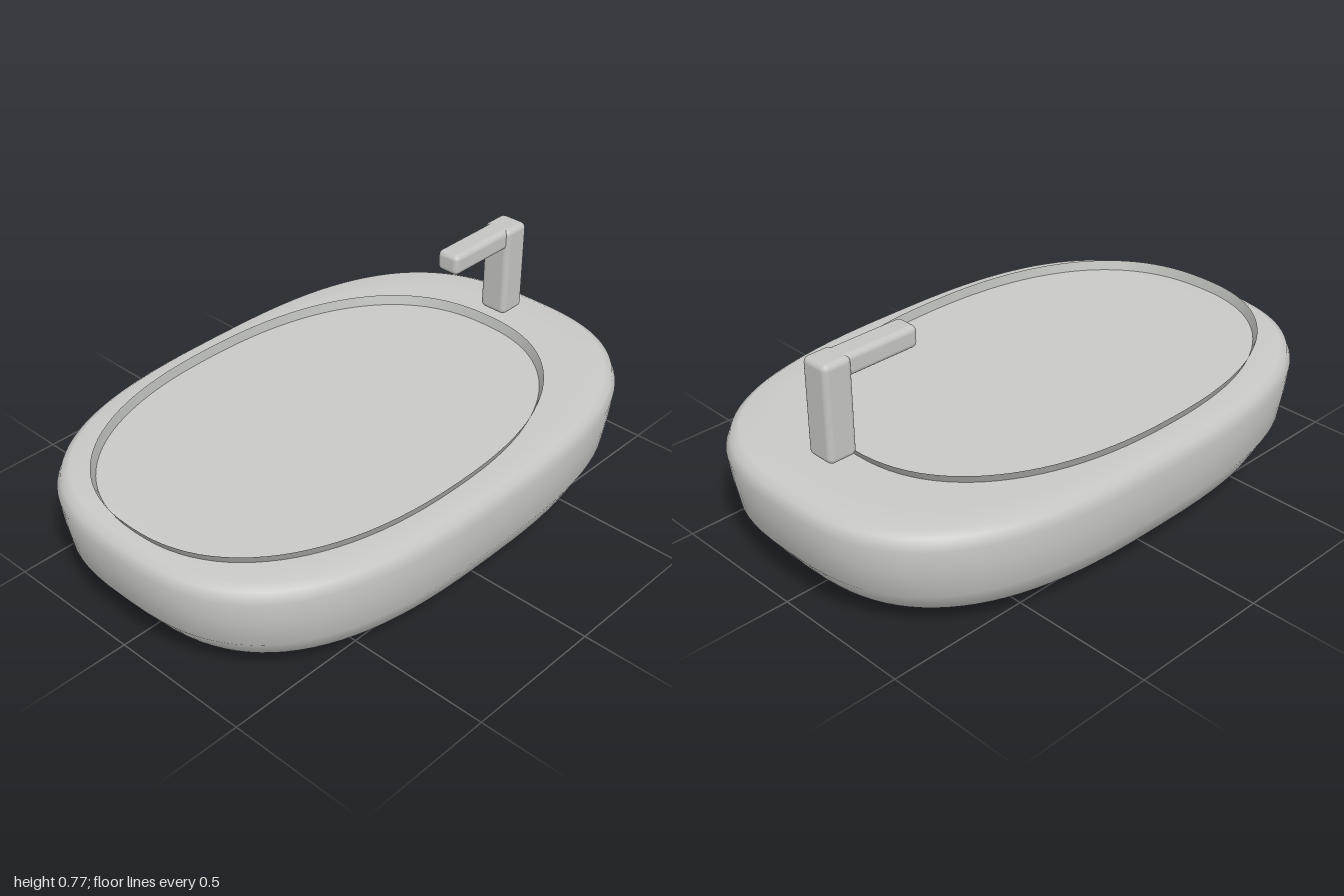
import * as THREE from 'three';
import { RoundedBoxGeometry } from 'three/addons/geometries/RoundedBoxGeometry.js';

// Lathe profile of [radius, y] pairs, reshaped from a circle into a superellipse
function ovalLathe(profile, halfX, halfZ, power, segments = 96) {
  const points = profile.map(([r, y]) => new THREE.Vector2(r, y));
  const geometry = new THREE.LatheGeometry(points, segments);
  const p = geometry.attributes.position;
  for (let i = 0; i < p.count; i++) {
    const x = p.getX(i), z = p.getZ(i), r = Math.hypot(x, z);
    if (r < 1e-6) continue;
    const c = x / r, s = z / r;
    p.setX(i, Math.sign(c) * Math.abs(c) ** (2 / power) * r * halfX);
    p.setZ(i, Math.sign(s) * Math.abs(s) ** (2 / power) * r * halfZ);
  }
  // Average normals, then share them across the lathe seam
  geometry.computeVertexNormals();
  const n = geometry.attributes.normal, rows = profile.length, last = segments * rows;
  for (let j = 0; j < rows; j++) {
    const v = new THREE.Vector3().fromBufferAttribute(n, j)
      .add(new THREE.Vector3().fromBufferAttribute(n, last + j)).normalize();
    n.setXYZ(j, v.x, v.y, v.z);
    n.setXYZ(last + j, v.x, v.y, v.z);
  }
  return geometry;
}

export function createModel() {
  const model = new THREE.Group();
  const ceramic = new THREE.MeshStandardMaterial({ color: 0xc8c8c6 });
  ceramic.name = 'ceramic';
  const rimGrey = new THREE.MeshStandardMaterial({ color: 0xb4b6b1, side: THREE.DoubleSide });
  rimGrey.name = 'rim grey';
  const metal = new THREE.MeshStandardMaterial({ color: 0xc4c4c2 });
  metal.name = 'tap metal';

  const add = (name, geometry, material, x = 0, y = 0, z = 0) => {
    const mesh = new THREE.Mesh(geometry, material);
    mesh.name = name;
    mesh.position.set(x, y, z);
    model.add(mesh);
  };

  // Basin body with a shallow pointed underside and a closed top
  add('basinBody', ovalLathe([
    [0, 0], [0.4, 0.023], [0.77, 0.04], [0.915, 0.088], [0.973, 0.168], [0.99, 0.26],
    [1, 0.34], [0.984, 0.378], [0.955, 0.392], [0.85, 0.394], [0.5, 0.394], [0, 0.394],
  ], 0.667, 1, 2.75), ceramic);

  // Thin flared rim around the bowl, set towards the front
  add('bowlRim', ovalLathe([[0.965, 0.37], [1, 0.425]], 0.56, 0.827, 2.3), rimGrey, 0, 0, 0.108);

  // Tap
  add('tapColumn', new RoundedBoxGeometry(0.108, 0.335, 0.105, 3, 0.02), metal, 0, 0.603, -0.788);
  add('tapSpout', new RoundedBoxGeometry(0.088, 0.075, 0.355, 3, 0.02), metal, 0, 0.733, -0.6525);

  return model;
}
